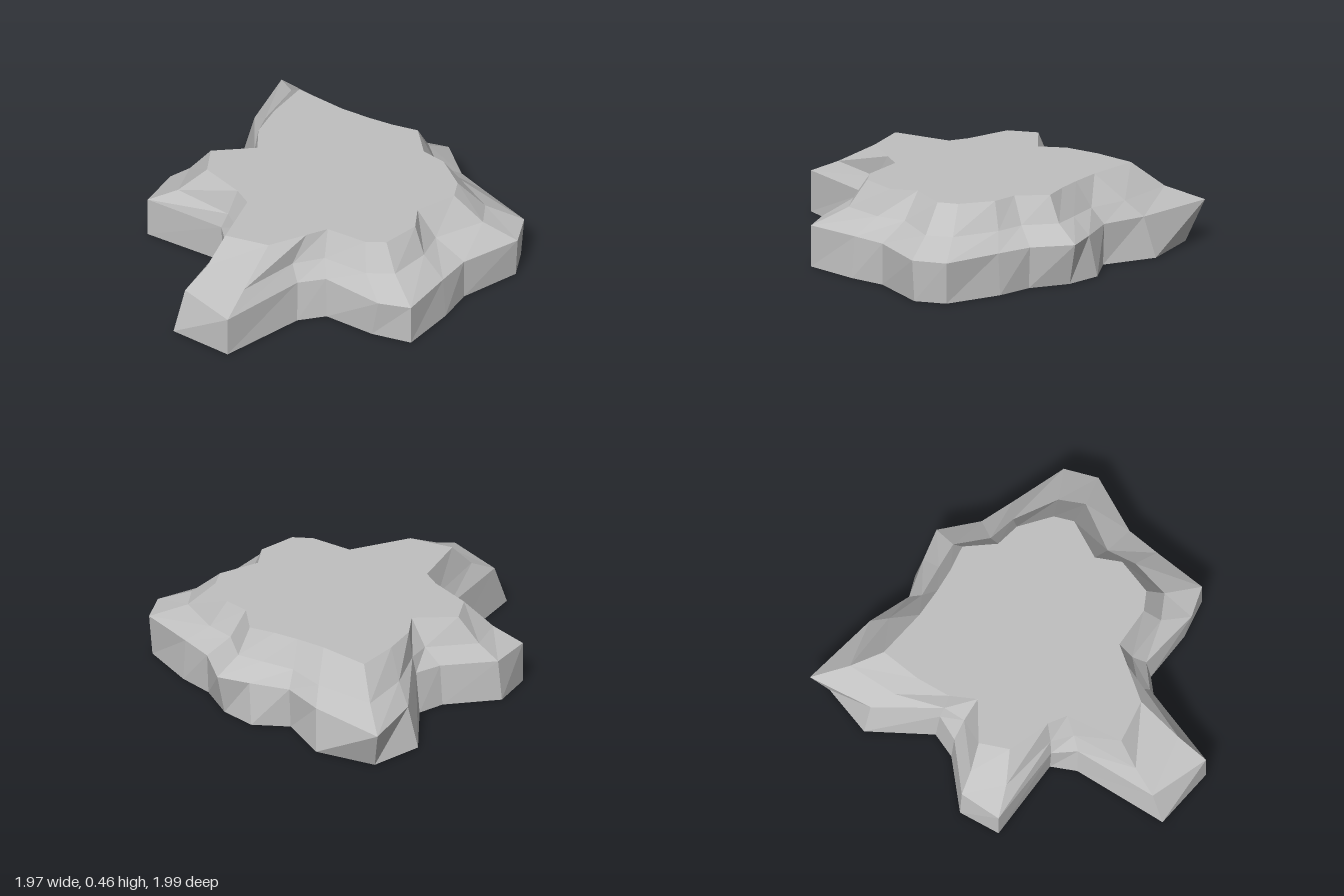
import * as THREE from 'three';

// Stations run clockwise as seen from above: each entry is [x, z]
const foot = [
  [-0.90, -0.70], [-0.59, -0.85], [-0.29, -0.78], [-0.14, -0.93], [0.06, -0.95], [0.28, -0.88],
  [0.48, -0.89], [0.80, -0.84], [0.91, -0.70], [0.87, -0.36], [0.93, -0.17], [0.98, 0.13],
  [0.78, 0.23], [0.50, 0.30], [0.42, 0.44], [0.39, 0.92], [0.04, 0.99], [-0.14, 0.48],
  [-0.24, 0.37], [-0.69, 0.50], [-0.78, 0.28], [-0.62, 0.0], [-0.61, -0.15], [-0.90, -0.40],
];
const rim = [
  [-0.99, -0.755], [-0.54, -0.81], [-0.29, -0.79], [-0.10, -0.91], [0.06, -1.0], [0.28, -0.89],
  [0.48, -0.875], [0.81, -0.855], [0.925, -0.70], [0.87, -0.36], [0.91, -0.17], [0.98, 0.13],
  [0.83, 0.23], [0.48, 0.285], [0.40, 0.42], [0.39, 0.92], [0.04, 0.905], [-0.12, 0.46],
  [-0.24, 0.38], [-0.69, 0.50], [-0.76, 0.27], [-0.60, 0.0], [-0.58, -0.15], [-0.84, -0.42],
];
const shoulder = [
  [-0.80, -0.65], [-0.47, -0.735], [-0.25, -0.73], [-0.08, -0.80], [0.06, -0.855], [0.24, -0.76],
  [0.40, -0.77], [0.66, -0.71], [0.76, -0.60], [0.69, -0.32], [0.76, -0.17], [0.78, 0.06],
  [0.67, 0.17], [0.42, 0.24], [0.34, 0.40], [0.335, 0.75], [0.045, 0.75], [-0.10, 0.40],
  [-0.22, 0.35], [-0.56, 0.40], [-0.66, 0.22], [-0.51, -0.03], [-0.55, -0.15], [-0.71, -0.375],
];
const crown = [
  [-0.64, -0.56], [-0.36, -0.61], [-0.20, -0.66], [-0.07, -0.71], [0.06, -0.775], [0.22, -0.67],
  [0.36, -0.685], [0.55, -0.61], [0.62, -0.52], [0.58, -0.29], [0.68, -0.18], [0.68, 0.03],
  [0.60, 0.11], [0.38, 0.18], [0.34, 0.30], [0.27, 0.51], [0.05, 0.62], [-0.09, 0.33],
  [-0.20, 0.30], [-0.45, 0.29], [-0.56, 0.16], [-0.41, -0.04], [-0.52, -0.15], [-0.59, -0.33],
];
const FOOT_Y = 0, RIM_Y = 0.23, SHOULDER_Y = 0.315, CROWN_Y = 0.455;

// Strip of faces joining two outlines
function band(lower, y0, upper, y1) {
  const n = lower.length, pos = [], index = [];
  for (let i = 0; i < n; i++) {
    pos.push(lower[i][0], y0, lower[i][1], upper[i][0], y1, upper[i][1]);
    const a = 2 * i, b = 2 * ((i + 1) % n);
    index.push(a, a + 1, b, b, a + 1, b + 1);
  }
  const g = new THREE.BufferGeometry();
  g.setAttribute('position', new THREE.Float32BufferAttribute(pos, 3));
  g.setIndex(index);
  const flat = g.toNonIndexed();
  flat.computeVertexNormals();
  return flat;
}

// Level face filling an outline, looking up (1) or down (-1)
function cap(outline, y, up) {
  const shape = new THREE.Shape(outline.map(([x, z]) => new THREE.Vector2(x, -up * z)));
  return new THREE.ShapeGeometry(shape).rotateX(-up * Math.PI / 2).translate(0, y, 0);
}

export function createModel() {
  const group = new THREE.Group();
  group.name = 'rockPlateau';
  const stone = new THREE.MeshStandardMaterial({ color: 0xc0c0c0, flatShading: true });
  stone.name = 'greyStone';

  const add = (name, geometry) => {
    const mesh = new THREE.Mesh(geometry, stone);
    mesh.name = name;
    group.add(mesh);
  };

  add('cliffWall', band(foot, FOOT_Y, rim, RIM_Y));
  add('lowerSlope', band(rim, RIM_Y, shoulder, SHOULDER_Y));
  add('upperSlope', band(shoulder, SHOULDER_Y, crown, CROWN_Y));
  add('plateauTop', cap(crown, CROWN_Y, 1));
  add('underside', cap(foot, FOOT_Y, -1));
  return group;
}
